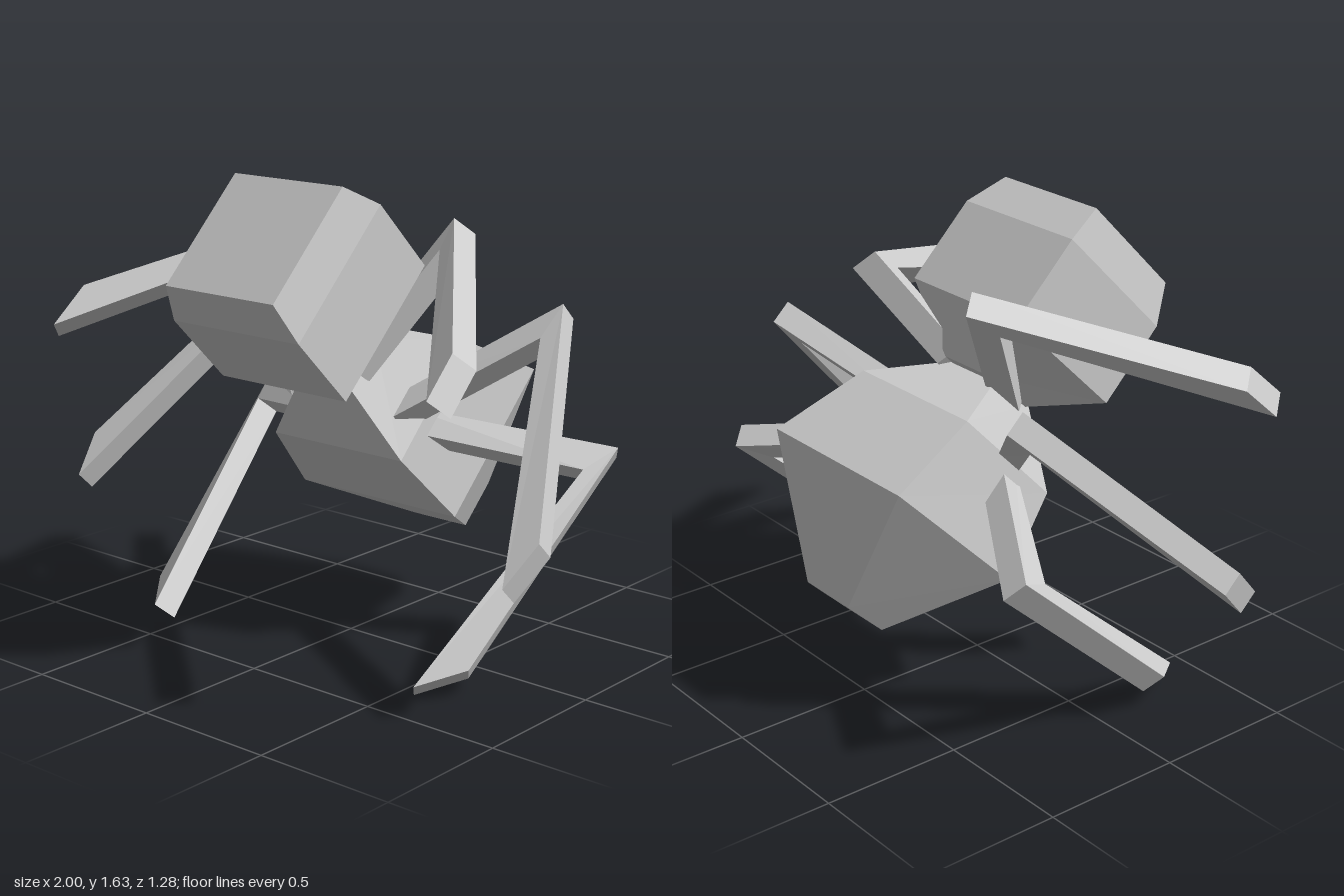
import * as THREE from 'three';

const material = new THREE.MeshStandardMaterial({ color: 0xcccccc, flatShading: true });

// Closed faceted solid through rings of four corners, counter-clockwise around the travel direction
function loft(rings, name) {
  const pos = [];
  const quad = (a, b, c, d) => pos.push(...a, ...b, ...c, ...a, ...c, ...d);
  for (let r = 0; r < rings.length - 1; r++) {
    const p = rings[r], q = rings[r + 1];
    for (let i = 0; i < 4; i++) {
      const j = (i + 1) % 4;
      quad(p[i], p[j], q[j], q[i]);
    }
  }
  quad(...[...rings[0]].reverse());
  quad(...rings[rings.length - 1]);
  const geometry = new THREE.BufferGeometry();
  geometry.setAttribute('position', new THREE.Float32BufferAttribute(pos, 3));
  geometry.computeVertexNormals();
  const mesh = new THREE.Mesh(geometry, material);
  mesh.name = name;
  return mesh;
}

// Symmetric ring: half width, then (y, z) of its lower and upper edges
const ring = ([w, y0, z0, y1, z1]) => [[-w, y0, z0], [w, y0, z0], [w, y1, z1], [-w, y1, z1]];

// Bent leg: outer and inner corners at base, knee and tip, thickened by a vector
function leg({ outer, inner, thick }, side, name) {
  const back = (p) => p.map((v, i) => v + thick[i]);
  const rings = outer.map((o, i) => {
    const corners = [o, inner[i], back(inner[i]), back(o)].map(([x, y, z]) => [x * side, y, z]);
    return side > 0 ? corners : corners.reverse();
  });
  return loft(rings, name);
}

const legs = {
  front: {
    outer: [[0.085, 1.127, -0.01], [0.26, 1.47, -0.23], [0.81, 1.21, 0.48]],
    inner: [[0.095, 0.997, 0.13], [0.29, 1.382, -0.115], [0.82, 1.09, 0.615]],
    thick: [0.045, -0.057, -0.06],
  },
  middle: {
    outer: [[0.23, 0.915, -0.035], [0.64, 1.21, -0.335], [1.0, 0.605, 0.28]],
    inner: [[0.23, 0.83, 0.05], [0.625, 1.11, -0.23], [0.955, 0.48, 0.405]],
    thick: [0, -0.06, -0.062],
  },
  hind: {
    outer: [[0.19, 0.84, -0.055], [0.8, 0.72, -0.45], [0.71, 0.105, 0.245]],
    inner: [[0.19, 0.775, 0.01], [0.745, 0.66, -0.325], [0.595, 0.06, 0.385]],
    thick: [-0.042, -0.055, -0.055],
  },
};

export function createModel() {
  const model = new THREE.Group();
  model.name = 'insect';

  // Tapered body, from tail to neck
  model.add(loft([
    [0.117, 0.29, -0.505, 0.42, -0.64],
    [0.345, 0.455, -0.145, 0.895, -0.592],
    [0.285, 0.69, 0.075, 1.045, -0.27],
    [0.105, 0.935, 0.14, 1.07, 0.0],
  ].map(ring), 'body'));

  // Blocky head, from neck to face
  model.add(loft([
    [0.105, 0.94, 0.1, 1.1, -0.055],
    [0.275, 0.946, 0.345, 1.335, -0.055],
    [0.275, 1.173, 0.57, 1.566, 0.175],
    [0.235, 1.305, 0.643, 1.635, 0.314],
  ].map(ring), 'head'));

  // Three mirrored pairs of legs
  for (const [name, shape] of Object.entries(legs)) {
    model.add(leg(shape, 1, `${name}LegLeft`), leg(shape, -1, `${name}LegRight`));
  }
  return model;
}
